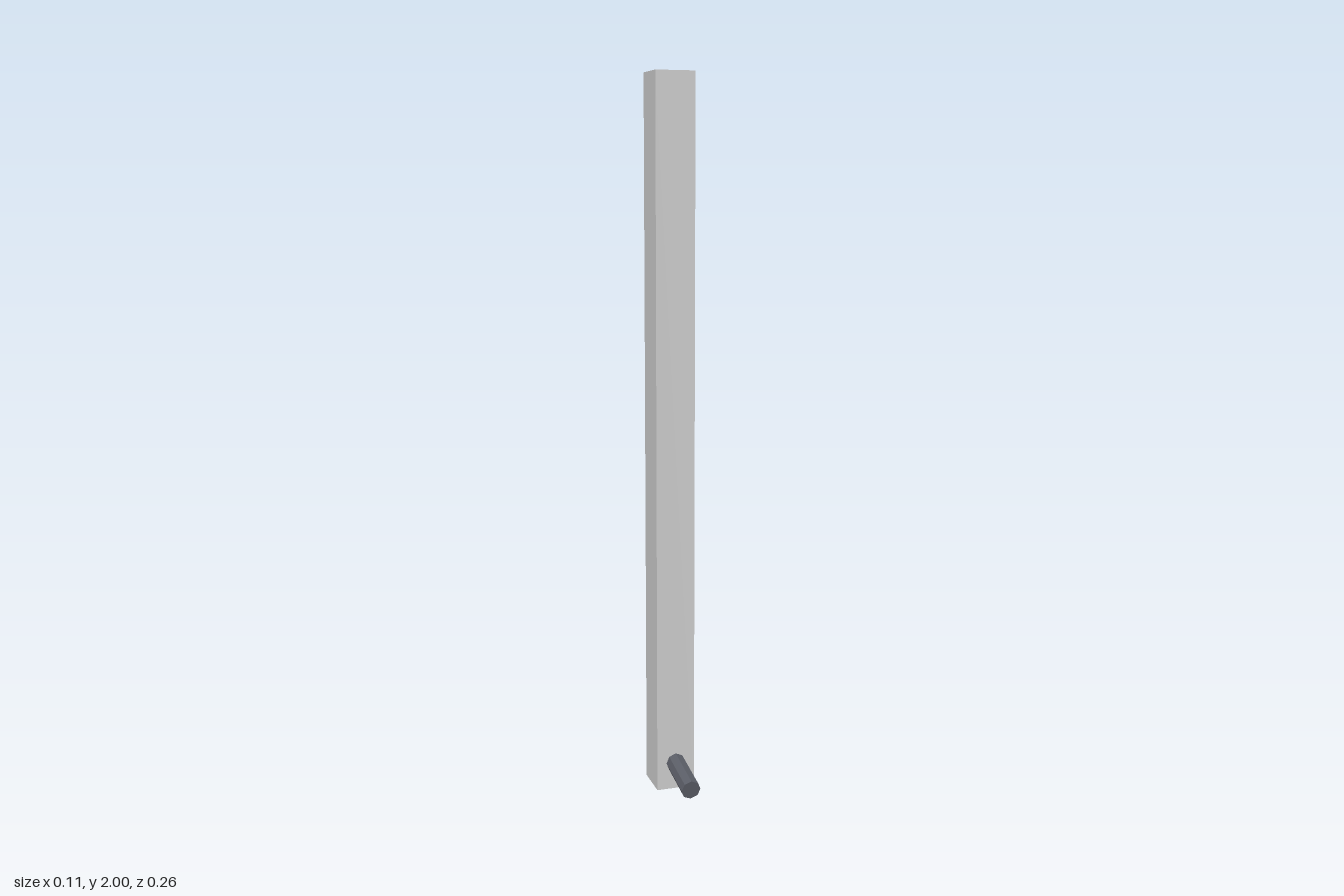
import * as THREE from 'three';

export function createModel() {
  const model = new THREE.Group();
  const grey = new THREE.MeshStandardMaterial({ color: 0xcccccc, flatShading: true });
  const dark = new THREE.MeshStandardMaterial({ color: 0x5a5d66, flatShading: true });

  const height = 2, half = 0.055, postZ = -0.073;
  const radius = 0.0275, sides = 8, recess = 0.01;

  const add = (name, geometry, material) => {
    const mesh = new THREE.Mesh(geometry, material);
    mesh.name = name;
    model.add(mesh);
    return mesh;
  };

  // Square post with an octagonal bore running its full height
  const section = new THREE.Shape([
    new THREE.Vector2(-half, -half), new THREE.Vector2(half, -half),
    new THREE.Vector2(half, half), new THREE.Vector2(-half, half),
  ]);
  const bore = [];
  for (let i = 0; i < sides; i++) {
    const a = -i / sides * Math.PI * 2;
    bore.push(new THREE.Vector2(Math.cos(a) * radius, Math.sin(a) * radius));
  }
  section.holes.push(new THREE.Path(bore));
  const postGeometry = new THREE.ExtrudeGeometry(section, { depth: height, bevelEnabled: false });
  postGeometry.rotateX(-Math.PI / 2);
  add('post', postGeometry, grey).position.z = postZ;

  // Inner pipe, set slightly back from both ends of the post
  const pipe = new THREE.CylinderGeometry(radius, radius, height - 2 * recess, sides);
  add('innerPipe', pipe, dark).position.set(0, height / 2, postZ);

  // Spout sloping down and forward from the pipe
  const start = new THREE.Vector3(0, 0.086, postZ);
  const end = new THREE.Vector3(0, 0.055, 0.124);
  const along = end.clone().sub(start);
  const spout = add('spout', new THREE.CylinderGeometry(radius, radius, along.length(), sides), dark);
  spout.position.copy(start).add(end).multiplyScalar(0.5);
  spout.quaternion.setFromUnitVectors(new THREE.Vector3(0, 1, 0), along.normalize());

  return model;
}
